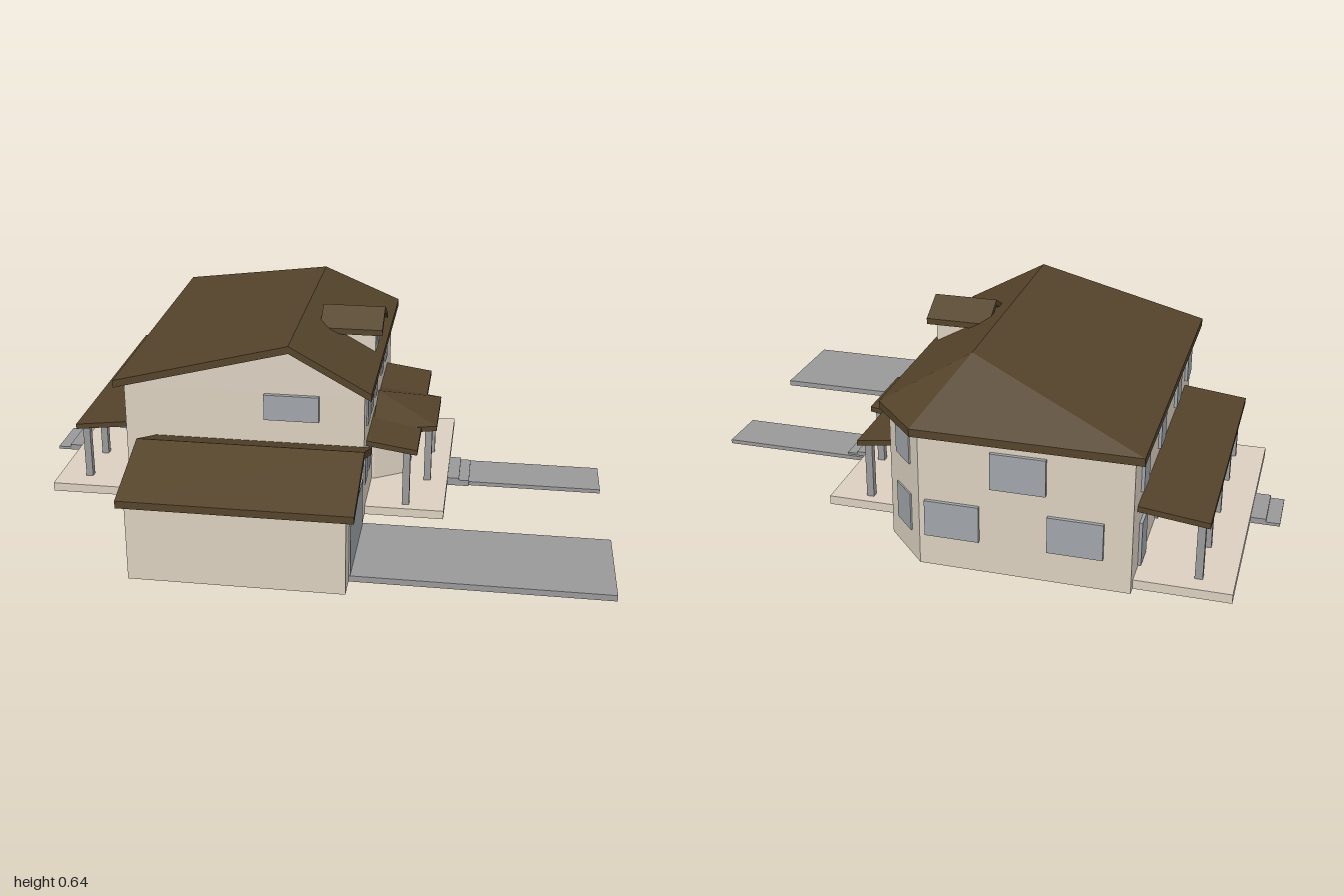
import * as THREE from 'three';

const mat = (color) => new THREE.MeshStandardMaterial({ color, flatShading: true, side: THREE.DoubleSide });
const WALL = mat(0xdacfbf), ROOF = mat(0x54432a), GREY = mat(0x999999), GLASS = mat(0xa0a4a8);

export function createModel() {
  const model = new THREE.Group();

  const add = (name, geometry, material) => {
    const mesh = new THREE.Mesh(geometry, material);
    mesh.name = name;
    model.add(mesh);
    return mesh;
  };

  // Box given by its limits on each axis
  const box = (name, [x0, x1], [y0, y1], [z0, z1], material) => {
    const g = new THREE.BoxGeometry(x1 - x0, y1 - y0, z1 - z0);
    g.translate((x0 + x1) / 2, (y0 + y1) / 2, (z0 + z1) / 2);
    return add(name, g, material);
  };

  const extrude = (pts, depth) => new THREE.ExtrudeGeometry(
    new THREE.Shape(pts.map(([a, b]) => new THREE.Vector2(a, b))), { depth, bevelEnabled: false });

  // Upright prism over a footprint of [x, z] points
  const prism = (name, plan, y0, y1, material) => {
    const g = extrude(plan.map(([x, z]) => [x, -z]), y1 - y0);
    g.rotateX(-Math.PI / 2).translate(0, y0, 0);
    return add(name, g, material);
  };

  // Profile of [z, y] points run along x
  const alongX = (name, profile, x0, x1, material) => {
    const g = extrude(profile.map(([z, y]) => [-z, y]), x1 - x0);
    g.rotateY(Math.PI / 2).translate(x0, 0, 0);
    return add(name, g, material);
  };

  // Sloping roof plane: a convex polygon of [x, y, z] points with a vertical thickness
  const slab = (name, points, thickness) => {
    const v = points.map((p) => new THREE.Vector3(...p));
    const n = v[1].clone().sub(v[0]).cross(v[2].clone().sub(v[0]));
    if (n.y < 0) v.reverse();
    const low = v.map((p) => p.clone().setY(p.y - thickness));
    const tris = [];
    for (let i = 1; i < v.length - 1; i++) {
      tris.push(v[0], v[i], v[i + 1], low[0], low[i + 1], low[i]);
    }
    v.forEach((p, i) => {
      const j = (i + 1) % v.length;
      tris.push(p, low[i], low[j], p, low[j], v[j]);
    });
    const g = new THREE.BufferGeometry().setFromPoints(tris);
    g.computeVertexNormals();
    return add(name, g, ROOF);
  };

  // Main house walls with one cut corner, and the gable under the roof
  prism('houseWalls', [[-0.61, 0.315], [0.19, 0.315], [0.19, -0.615], [0.045, -0.77], [-0.61, -0.77]],
    0.025, 0.47, WALL);
  const gable = extrude([[-0.61, 0.465], [0.19, 0.465], [0.19, 0.48], [-0.055, 0.62], [-0.61, 0.475]], 0.815);
  add('gableWall', gable.translate(0, 0, -0.5), WALL);

  // Main roof: gable at the front, hipped at the back
  const ridge = [-0.055, 0.64, 0.343], hip = [-0.055, 0.64, -0.535];
  const backA = [-0.64, 0.49, -0.8], backB = [0.06, 0.49, -0.8], backC = [0.215, 0.49, -0.635];
  slab('mainRoofRight', [[-0.64, 0.49, 0.343], ridge, hip, backA], 0.025);
  slab('mainRoofLeft', [ridge, [0.215, 0.49, 0.343], backC, hip], 0.025);
  slab('mainRoofBack', [backA, backB, hip], 0.025);
  slab('mainRoofCorner', [backB, backC, hip], 0.025);

  // Dormer
  alongX('dormerWalls', [[-0.01, 0.495], [-0.01, 0.59], [-0.08, 0.625], [-0.147, 0.59], [-0.147, 0.495]],
    0.04, 0.19, WALL);
  box('dormerWindow', [0.185, 0.194], [0.515, 0.58], [-0.115, -0.045], GLASS);
  for (const s of [-1, 1]) {
    const z = -0.08 + s * 0.098;
    slab('dormerRoof', [[0, 0.645, -0.08], [0.215, 0.645, -0.08], [0.215, 0.592, z], [0, 0.592, z]], 0.02);
  }

  // Garage, door and driveway
  alongX('garageWalls', [[0.79, 0.02], [0.79, 0.275], [0.535, 0.355], [0.315, 0.285], [0.315, 0.02]],
    -0.485, 0.19, WALL);
  for (const z of [0.8, 0.31]) {
    slab('garageRoof', [[-0.51, 0.377, 0.535], [0.215, 0.377, 0.535],
      [0.215, 0.29, z], [-0.51, 0.29, z]], 0.024);
  }
  box('garageDoor', [0.185, 0.195], [0.025, 0.21], [0.385, 0.71], GLASS);
  box('driveway', [0.19, 1], [0.022, 0.042], [0.37, 0.715], GREY);
  const footing = extrude([[-0.45, 0.025], [-0.2, 0.008], [0, 0], [0.17, 0.025]], 0.035);
  add('footing', footing.translate(0, 0, 0.28), GREY);

  // Front porch with a bay entrance
  box('frontPorchFloor', [0.18, 0.455], [0.025, 0.055], [-0.505, 0.275], WALL);
  prism('entranceBay', [[0.18, 0.06], [0.2, 0.06], [0.31, -0.01], [0.31, -0.155], [0.2, -0.232], [0.18, -0.232]],
    0.055, 0.265, WALL);
  box('frontDoor', [0.3, 0.316], [0.055, 0.22], [-0.142, -0.032], GLASS);
  slab('frontPorchRoof', [[0.19, 0.285, 0.25], [0.36, 0.26, 0.25],
    [0.36, 0.26, -0.48], [0.19, 0.285, -0.48]], 0.018);
  const apex = [0.195, 0.33, -0.085], porticoL = [0.412, 0.262, 0.045], porticoR = [0.412, 0.262, -0.222];
  slab('porticoRoofFront', [apex, porticoL, porticoR], 0.018);
  slab('porticoRoofSide', [apex, porticoL, [0.195, 0.265, 0.11]], 0.018);
  slab('porticoRoofSide', [apex, porticoR, [0.195, 0.265, -0.285]], 0.018);

  // Rear porch
  box('rearPorchFloor', [-0.905, -0.6], [0.025, 0.055], [-0.74, 0.255], WALL);
  slab('rearPorchRoof', [[-0.6, 0.288, 0.205], [-0.825, 0.262, 0.205],
    [-0.825, 0.262, -0.71], [-0.6, 0.288, -0.71]], 0.018);

  // Square columns of both porches
  const columns = [[0.325, 0.232], [0.325, -0.457], [0.385, 0.035], [0.385, -0.2],
    ...[-0.67, -0.48, -0.25, -0.02, 0.17].map((z) => [-0.797, z])];
  for (const [x, z] of columns) {
    box('porchColumn', [x - 0.012, x + 0.012], [0.05, 0.25], [z - 0.012, z + 0.012], GREY);
  }

  // Steps and path
  box('frontStepUpper', [0.45, 0.495], [0.022, 0.05], [-0.165, 0.008], GREY);
  box('frontStepLower', [0.45, 0.53], [0.022, 0.043], [-0.165, 0.008], GREY);
  box('frontPath', [0.45, 0.985], [0.022, 0.036], [-0.175, 0], GREY);
  box('rearStepUpper', [-0.955, -0.9], [0.028, 0.046], [-0.25, -0.08], GREY);
  box('rearStepLower', [-1, -0.9], [0.026, 0.036], [-0.25, -0.08], GREY);

  // Windows on the left (street) side
  const sideWindow = (x, z, y0, y1, w) =>
    box('sideWindow', [x - 0.005, x + 0.005], [y0, y1], [z - w / 2, z + w / 2], GLASS);
  for (const z of [0.213, 0.105, -0.036, -0.245, -0.387]) sideWindow(0.19, z, 0.338, 0.435, 0.07);
  for (const z of [0.273, 0.165, -0.315, -0.423]) sideWindow(0.19, z, 0.153, 0.247, 0.07);

  // Windows on the right side, behind the rear porch
  for (const z of [-0.617, -0.32, -0.005, 0.23]) {
    sideWindow(-0.615, z, 0.31, 0.435, 0.09);
    sideWindow(-0.615, z, 0.06, 0.205, 0.09);
  }

  // Windows on the cut corner
  for (const [y0, y1] of [[0.338, 0.435], [0.11, 0.235]]) {
    const w = box('cornerWindow', [-0.05, 0.05], [y0, y1], [-0.005, 0.005], GLASS);
    w.position.set(0.1175, 0, -0.6925);
    w.rotation.y = Math.atan2(0.155, -0.145);
  }

  // Windows in the front gable and back wall
  box('gableWindow', [-0.14, 0.042], [0.375, 0.463], [0.31, 0.33], GLASS);
  for (const [x, y0] of [[-0.265, 0.315], [-0.06, 0.13], [-0.44, 0.13]]) {
    box('backWindow', [x - 0.085, x + 0.085], [y0, y0 + 0.118], [-0.782, -0.765], GLASS);
  }

  return model;
}
